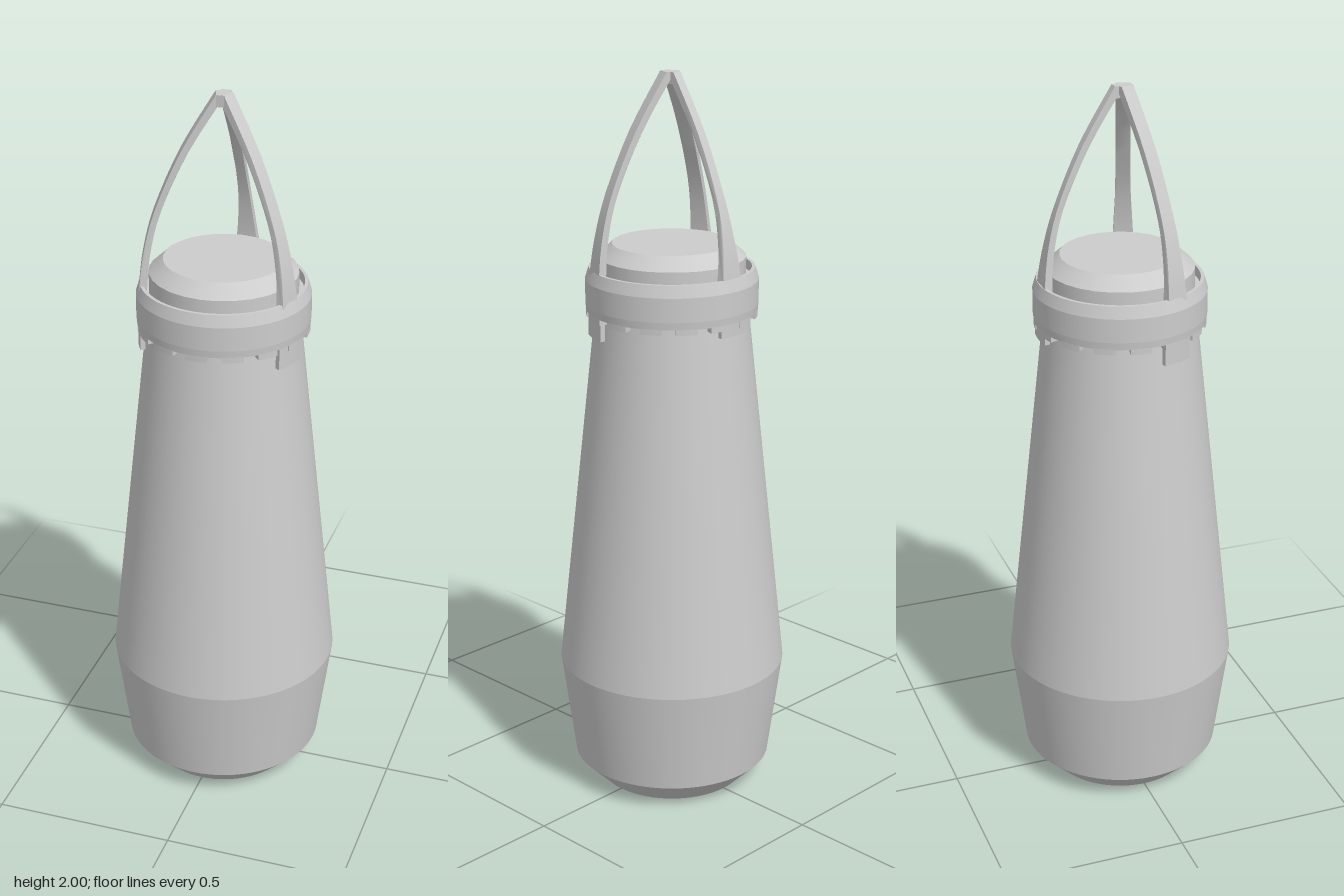
import * as THREE from 'three';
import { mergeGeometries, toCreasedNormals } from 'three/addons/utils/BufferGeometryUtils.js';

const RAD = Math.PI / 180;

// Turned part with a crisp edge at every profile point (bottom to top, [radius, height])
function turned(profile, segments) {
  const bands = [];
  for (let i = 0; i < profile.length - 1; i++) {
    const pts = [profile[i], profile[i + 1]].map(([r, y]) => new THREE.Vector2(r, y));
    bands.push(new THREE.LatheGeometry(pts, segments));
  }
  return mergeGeometries(bands);
}

// Curved block following the ring; angle 0 = +x, 90 = +z
function arcBlock(r0, r1, y0, y1, angle, width) {
  const a0 = (angle - width / 2) * RAD, a1 = (angle + width / 2) * RAD;
  const shape = new THREE.Shape();
  shape.absarc(0, 0, r1, a0, a1, false);
  shape.absarc(0, 0, r0, a1, a0, true);
  const geo = new THREE.ExtrudeGeometry(shape, { depth: y1 - y0, bevelEnabled: false, curveSegments: 5 });
  geo.rotateX(Math.PI / 2); // shape y becomes +z, depth runs downwards
  geo.translate(0, y1, 0);
  return geo;
}

// Bowed strap, wide at the foot and narrow at the top
function strap(topHalf, footHalf) {
  const outer = [[0.221, 1.465], [0.208, 1.57], [0.177, 1.69], [0.108, 1.85], [0.018, 2.0]];
  const inner = [[-0.006, 2.0], [0.088, 1.85], [0.16, 1.69], [0.19, 1.57], [0.2, 1.465]];
  const smooth = (pts) => new THREE.SplineCurve(pts.map(([x, y]) => new THREE.Vector2(x, y))).getPoints(16);
  const shape = new THREE.Shape([...smooth(outer), ...smooth(inner)]);
  const geo = new THREE.ExtrudeGeometry(shape, { depth: 2, bevelEnabled: false });
  geo.translate(0, 0, -1);
  const p = geo.attributes.position;
  for (let i = 0; i < p.count; i++) {
    const t = THREE.MathUtils.clamp((1.76 - p.getY(i)) / 0.28, 0, 1);
    p.setZ(i, p.getZ(i) * (topHalf + (footHalf - topHalf) * t * t));
  }
  return toCreasedNormals(geo, 35 * RAD);
}

export function createModel() {
  const model = new THREE.Group();
  const grey = new THREE.MeshStandardMaterial({ color: 0xcccccc });
  grey.name = 'plain grey';
  const add = (name, geo, parent = model) => {
    const mesh = new THREE.Mesh(geo, grey);
    mesh.name = name;
    parent.add(mesh);
    return mesh;
  };

  // Bottle body with bevelled base
  add('body', turned([[0, 0], [0.205, 0], [0.275, 0.07], [0.314, 0.36], [0.205, 1.38]], 72));

  // Collar with a recessed groove inside its rim
  add('collar', turned([
    [0.2, 1.37], [0.23, 1.37], [0.232, 1.39], [0.232, 1.455], [0.222, 1.487],
    [0.213, 1.487], [0.212, 1.46], [0.19, 1.46],
  ], 72));

  // Bevelled lid
  add('lid', turned([[0.198, 1.45], [0.198, 1.515], [0.16, 1.55], [0, 1.55]], 28));

  // Castellated lower edge of the collar
  const teeth = [];
  const count = 15;
  for (let i = 0; i < count; i++) {
    teeth.push(arcBlock(0.206, 0.23, 1.355, 1.372, 90 + (i * 360) / count, 14));
  }
  add('collarTeeth', mergeGeometries(teeth));

  // Three straps meeting at the top, each with a tab below the collar
  const arms = [
    { name: 'backStrap', angle: -90, half: 0.013, foot: 0.035, z: 0 },
    { name: 'leftStrap', angle: 20, half: 0.019, foot: 0.031, z: 0.008 },
    { name: 'rightStrap', angle: 160, half: 0.019, foot: 0.031, z: 0.008 },
  ];
  for (const { name, angle, half, foot, z } of arms) {
    const arm = add(name, strap(half, foot));
    arm.rotation.y = -angle * RAD;
    arm.position.z = z;
    const tabAngle = angle < 0 ? angle : angle + (angle < 90 ? 2 : -2);
    add(name + 'Tab', arcBlock(0.214, 0.228, angle < 0 ? 1.335 : 1.31, 1.372, tabAngle, 22));
  }

  // Small joint where the straps meet
  const joint = add('strapJoint', new THREE.BoxGeometry(0.026, 0.03, 0.05));
  joint.position.set(0, 1.984, 0.007);

  return model;
}
